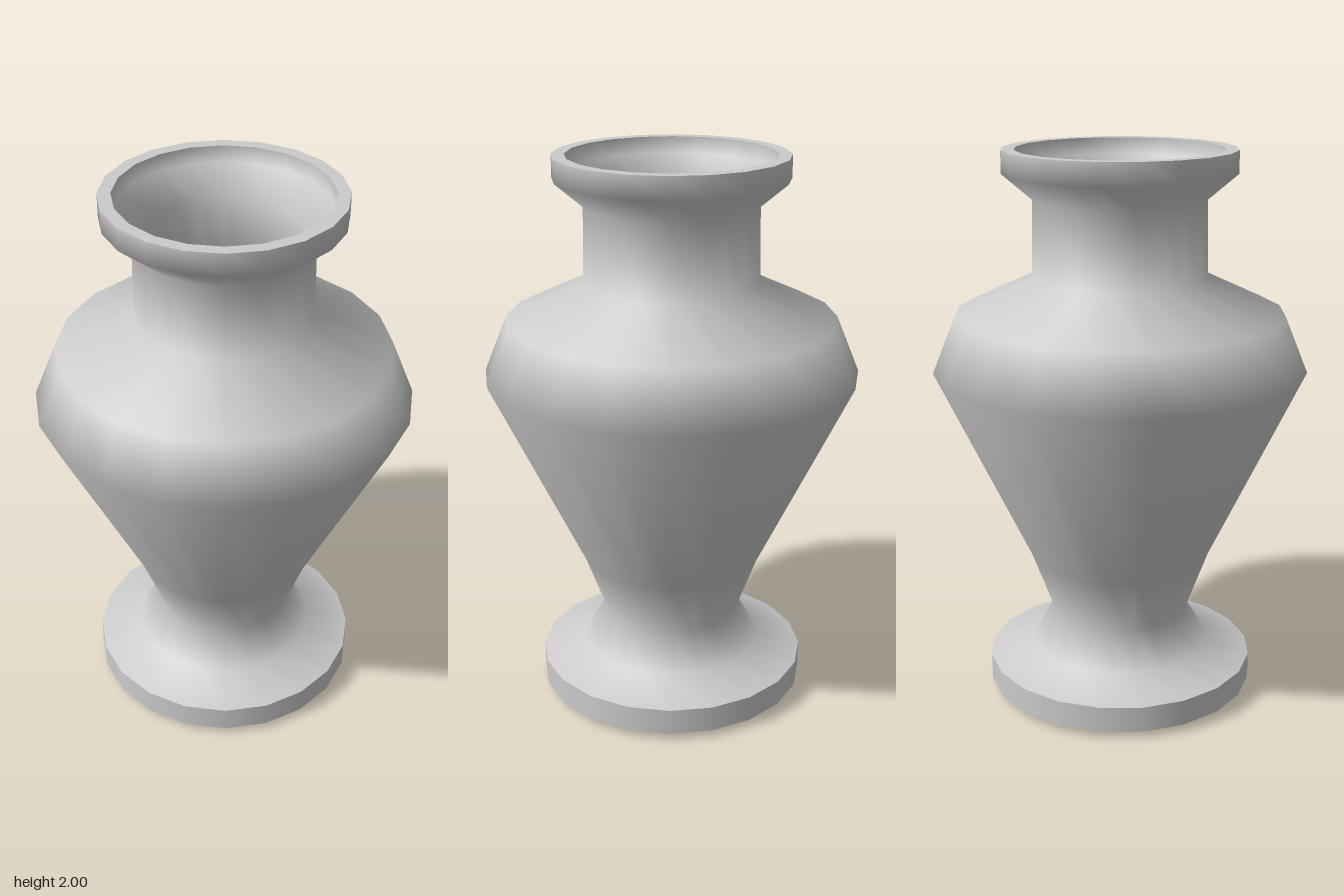
import * as THREE from 'three';

const SIDES = 20;

export function createModel() {
  const group = new THREE.Group();
  group.name = 'vase';
  const material = new THREE.MeshStandardMaterial({ color: 0xcccccc });

  // Each profile is a list of [radius, height]; separate lathes keep rims sharp
  const turn = (name, profile) => {
    const points = profile.map(([r, y]) => new THREE.Vector2(r, y));
    const mesh = new THREE.Mesh(new THREE.LatheGeometry(points, SIDES), material);
    mesh.name = name;
    group.add(mesh);
  };

  // Slightly domed underside
  turn('underside', [[0, 0], [0.49, 0.025]]);

  // Edge of the foot
  turn('footEdge', [[0.49, 0.025], [0.49, 0.12]]);

  // Foot slope, waist, belly, shoulder, neck and flared mouth
  turn('outerWall', [
    [0.49, 0.12], [0.33, 0.17], [0.25, 0.3], [0.33, 0.52], [0.667, 1.23],
    [0.585, 1.43], [0.31, 1.56], [0.305, 1.83], [0.41, 1.92], [0.41, 2],
  ]);

  // Flat top of the mouth
  turn('lip', [[0.41, 2], [0.365, 2]]);

  // Hollow inside, following the outer wall
  turn('innerWall', [
    [0.365, 2], [0.365, 1.94], [0.267, 1.85], [0.272, 1.53], [0.555, 1.4],
    [0.622, 1.23], [0.292, 0.53], [0.222, 0.3], [0.3, 0.14], [0.44, 0.09],
  ]);

  // Floor of the hollow
  turn('innerFloor', [[0.44, 0.09], [0.44, 0.06], [0, 0.04]]);

  return group;
}
